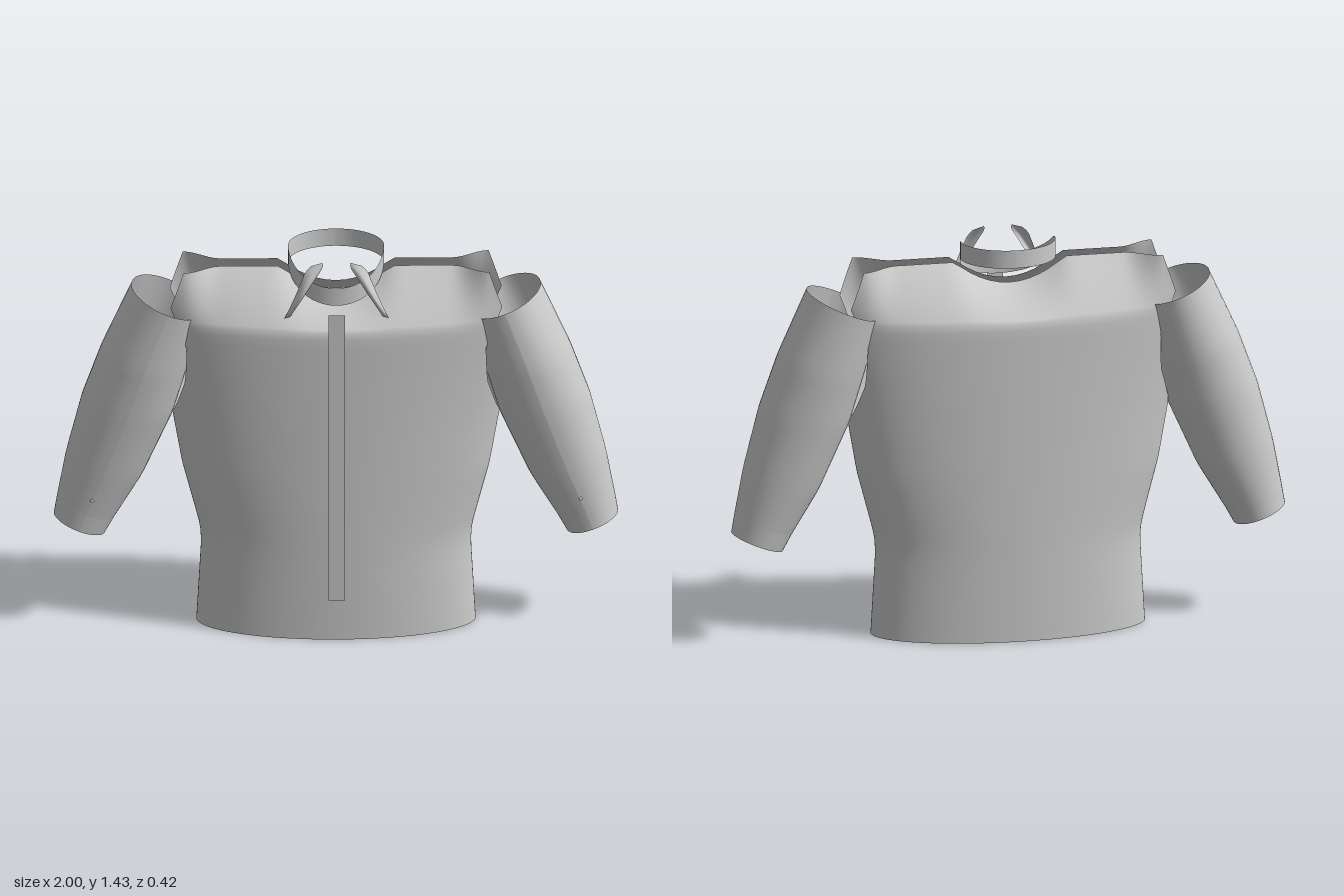
import * as THREE from 'three';

const { lerp, smoothstep } = THREE.MathUtils;

// Piecewise-linear lookup in a list of [key, value, value...] rows
function sample(rows, k, i = 1) {
  for (let r = 1; r < rows.length; r++) {
    const a = rows[r - 1], b = rows[r];
    if (k <= b[0]) return lerp(a[i], b[i], Math.max(0, (k - a[0]) / (b[0] - a[0])));
  }
  return rows[rows.length - 1][i];
}

// Sheet of cloth from a rule fn(u, v) -> [x, y, z], u and v in 0..1
function sheet(nu, nv, fn) {
  const geo = new THREE.PlaneGeometry(1, 1, nu, nv);
  const p = geo.attributes.position;
  for (let j = 0; j <= nv; j++) {
    for (let i = 0; i <= nu; i++) {
      p.setXYZ(j * (nu + 1) + i, ...fn(i / nu, 1 - j / nv));
    }
  }
  geo.computeVertexNormals();
  return geo;
}

// Height, half width of the cross-section, half width where the cloth ends
const BODY = [
  [0, 0.495, 0.495], [0.3, 0.478, 0.478], [0.36, 0.482, 0.482], [0.43, 0.5, 0.5],
  [0.6, 0.545, 0.545], [0.8, 0.58, 0.58], [0.95, 0.61, 0.535], [1.08, 0.64, 0.53],
  [1.17, 0.66, 0.565], [1.23, 0.665, 0.588], [1.37, 0.665, 0.54],
];
const YOKE = 1.17, DEPTH = 0.205, MID = -0.01;

// Front (side 1) or back (side -1) panel, with rounded shoulders and a dipped neckline
function bodyPanel(side) {
  return sheet(48, 48, (u, v) => {
    const s = Math.sin((u - 0.5) * Math.PI) * side;
    const t = Math.max(0, (v - 0.7) / 0.3);
    let y = Math.min(v / 0.7, 1) * YOKE;
    let x = s * sample(BODY, y, 2);
    if (t > 0) {
      const level = lerp(YOKE, 1.365, t);
      x = s * sample(BODY, level, 2);
      const dip = 0.085 * Math.max(0, 1 - (x / 0.2) ** 2);
      y = lerp(YOKE, 1.365 - dip, t);
    }
    const w = sample(BODY, y, 1);
    let z = DEPTH * Math.sqrt(Math.max(0, 1 - (x / w) ** 2));
    const rim = 0.035 + 0.065 * smoothstep(Math.abs(x), 0.41, 0.54);
    z = lerp(z, rim, t * (1 - 0.25 * (1 - t)));
    return [x, y, MID + side * z];
  });
}

// Sleeve sections: key, outer x, outer y, inner x, inner y, half depth
const SLEEVE = [
  [0, 0.725, 1.28, 0.468, 1.178, 0.172], [0.22, 0.83, 1.05, 0.525, 0.975, 0.168],
  [0.45, 0.9, 0.86, 0.577, 0.8, 0.152], [0.7, 0.957, 0.64, 0.685, 0.56, 0.126],
  [0.91, 0.988, 0.475, 0.785, 0.395, 0.104], [1, 1, 0.405, 0.818, 0.335, 0.098],
];

function sleeveTube(from, to, rows, side) {
  return sheet(40, rows, (u, v) => {
    const k = lerp(to, from, v), a = u * Math.PI * 2 * side;
    const [ox, oy, ix, iy, d] = [1, 2, 3, 4, 5].map(i => sample(SLEEVE, k, i));
    const c = (1 + Math.sin(a)) / 2;
    return [side * lerp(ix, ox, c), lerp(iy, oy, c), -0.016 + d * Math.cos(a)];
  });
}

// Standing neck band, level at the back and sloping down to the front
function neckBand() {
  return sheet(48, 2, (u, v) => {
    const a = (u * 2 - 1) * Math.PI;
    const z = MID + 0.15 * Math.cos(a);
    const top = 1.43 - 0.105 * Math.max(0, z) / 0.14;
    return [0.17 * Math.sin(a), top - 0.066 * (1 - v), z];
  });
}

// Tapered, bowed collar tab
function collarTab(side) {
  return sheet(8, 16, (u, v) => {
    const t = 1 - v, c = u * 2 - 1;
    const half = lerp(0.036, 0.01, Math.pow(t, 0.8)) * Math.min(1, 0.55 + t * 5);
    const bow = 0.036 * Math.sin(Math.PI * t) * (1 - 0.7 * c * c);
    const x = lerp(0.07, 0.174, t) + c * half;
    return [side * (side > 0 ? x : x - 2 * c * half), lerp(1.425, 1.222, t) - c * half * 0.3 * side, 0.158 + bow];
  });
}

export function createModel() {
  const model = new THREE.Group();
  const cloth = new THREE.MeshStandardMaterial({ color: 0xcccccc, side: THREE.DoubleSide });
  cloth.name = 'light grey cloth';

  const add = (name, geometry, x = 0, y = 0, z = 0) => {
    const mesh = new THREE.Mesh(geometry, cloth);
    mesh.name = name;
    mesh.position.set(x, y, z);
    model.add(mesh);
    return mesh;
  };

  // Torso
  add('frontPanel', bodyPanel(1));
  add('backPanel', bodyPanel(-1));

  // Sleeves, cuffs, cuff buttons and collar tabs on both sides
  for (const [label, side] of [['left', 1], ['right', -1]]) {
    add(label + 'Sleeve', sleeveTube(0, 0.91, 24, side));
    add(label + 'Cuff', sleeveTube(0.91, 1, 2, side));
    add(label + 'CuffButton', new THREE.SphereGeometry(0.009, 12, 8), side * 0.865, 0.495, 0.09);
    add(label + 'CollarTab', collarTab(side));
  }

  // Collar
  add('neckBand', neckBand());

  // Button strip with the fastenings behind it
  add('placket', new THREE.PlaneGeometry(0.058, 1.095), 0, 0.7025, 0.208);
  for (const y of [0.27, 0.45, 0.63, 0.8, 0.97, 1.165]) {
    add('fastening', new THREE.BoxGeometry(0.054, 0.018, 0.007), 0, y, 0.202);
  }
  return model;
}
